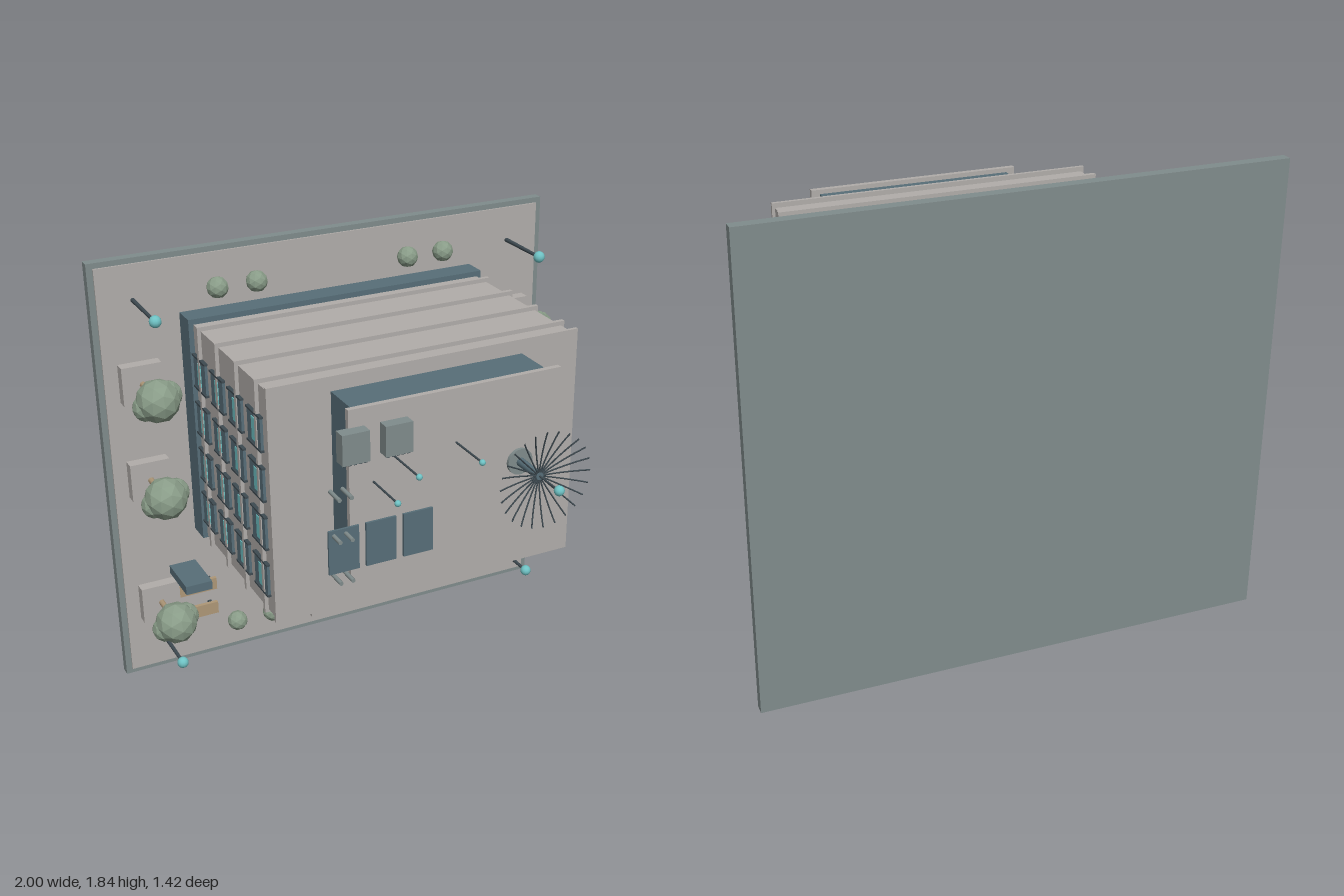
import * as THREE from 'three';

const mat = (name, color, side = THREE.FrontSide) => {
  const m = new THREE.MeshStandardMaterial({ color, side });
  m.name = name;
  return m;
};

export function createModel() {
  const model = new THREE.Group();
  model.name = 'buildingOnPlot';
  const stone = mat('pale stone', 0xb1adaa);
  const metal = mat('grey metal', 0x808c8c);
  const blue = mat('slate blue', 0x576e78);
  const dark = mat('dark steel', 0x3e4a51);
  const teal = mat('teal glass', 0x6fc2c4);
  const leaf = mat('leaf green', 0x899c88);
  leaf.flatShading = true;
  const wood = mat('wood', 0xae9777);

  const add = (name, geo, material, x = 0, y = 0, z = 0, parent = model) => {
    const m = new THREE.Mesh(geo, material);
    m.name = name;
    m.position.set(x, y, z);
    parent.add(m);
    return m;
  };
  // Box between two corners
  const box = (name, material, x0, x1, y0, y1, z0, z1, parent) =>
    add(name, new THREE.BoxGeometry(x1 - x0, y1 - y0, z1 - z0), material,
      (x0 + x1) / 2, (y0 + y1) / 2, (z0 + z1) / 2, parent);
  // Round rod along z
  const rod = (name, material, x, y, z0, z1, r, r2 = r, sides = 12) =>
    add(name, new THREE.CylinderGeometry(r2, r, z1 - z0, sides).rotateX(Math.PI / 2), material, x, y, (z0 + z1) / 2);
  const ball = (name, x, y, z, r) => add(name, new THREE.SphereGeometry(r, 12, 8), teal, x, y, z);

  // Plot: the building rises from it along +z, its entrance looks down
  box('plotSlab', metal, -1, 1, 0, 1.835, -0.71, -0.668);
  box('paving', stone, -0.975, 0.975, 0.022, 1.813, -0.668, -0.66);

  // Ground floor and main body with floor bands
  box('groundFloor', blue, -0.65, 0.65, 0.632, 1.59, -0.66, -0.56);
  box('mainBody', stone, -0.63, 0.63, 0.64, 1.568, -0.56, 0.182);
  box('roofSlab', stone, -0.642, 0.642, 0.635, 1.587, 0.182, 0.196);
  for (const z of [0.088, -0.103, -0.3, -0.487])
    box('floorBand', stone, -0.645, 0.645, 0.628, 1.585, z - 0.009, z + 0.009);

  // Windows on both sides and on the entrance face
  const floors = [0.063, -0.123, -0.305, -0.492];
  for (const z of floors) {
    for (const y of [1.383, 1.182, 0.982, 0.782]) {
      for (const s of [-1, 1]) {
        const w = new THREE.Group();
        w.name = 'sideWindow';
        w.position.set(s * 0.63, y, z);
        model.add(w);
        add('windowPanel', new THREE.BoxGeometry(0.014, 0.13, 0.124), blue, s * 0.004, 0, 0, w);
        add('windowGlass', new THREE.BoxGeometry(0.004, 0.092, 0.034), teal, s * 0.012, 0, 0, w);
        for (const e of [-1, 1])
          add('windowFin', new THREE.BoxGeometry(0.018, 0.008, 0.134), dark, s * 0.006, e * 0.066, 0, w);
      }
    }
    for (let i = 0; i < 6; i++) {
      const x = -0.51 + i * 0.204;
      box('frontWindowPanel', blue, x - 0.07, x + 0.07, 0.628, 0.642, z - 0.062, z + 0.062);
      box('frontWindowGlass', teal, x - 0.05, x + 0.05, 0.625, 0.629, z - 0.017, z + 0.017);
      for (const e of [-1, 1])
        box('frontWindowFin', dark, x + e * 0.07 - 0.004, x + e * 0.07 + 0.004, 0.623, 0.641, z - 0.066, z + 0.066);
    }
  }

  // Entrance hall, canopy, doors and steps
  box('entranceHall', blue, -0.285, 0.285, 0.305, 0.64, -0.66, -0.308);
  box('entranceCanopy', stone, -0.29, 0.29, 0.297, 0.64, -0.308, -0.286);
  box('entranceGlass', teal, -0.2, 0.2, 0.288, 0.306, -0.605, -0.34);
  for (let i = 0; i <= 8; i++) {
    const x = -0.2 + i * 0.05;
    box('doorMullion', dark, x - 0.004, x + 0.004, 0.283, 0.3, -0.605, -0.34);
  }
  box('doorLintel', dark, -0.205, 0.205, 0.285, 0.306, -0.342, -0.33);
  [[0.27, -0.608], [0.238, -0.625], [0.125, -0.643]].forEach(([y, z]) =>
    box('entranceStep', stone, -0.23, 0.23, y, 0.305, -0.66, z));

  // Sign blocks and benches
  for (const s of [-1, 1]) {
    const cx = s * 0.717;
    box('signBlock', blue, cx - 0.057, cx + 0.057, 0.445, 0.483, -0.66, -0.457);
    for (const y of [0.367, 0.248]) {
      const bx = s * 0.67;
      box('benchSeat', wood, bx - 0.085, bx + 0.085, y - 0.027, y + 0.027, -0.635, -0.618);
      for (const e of [-1, 1])
        box('benchLeg', dark, bx + e * 0.06 - 0.008, bx + e * 0.06 + 0.008, y - 0.02, y + 0.02, -0.66, -0.635);
    }
  }

  // Trees in planters
  const treeBlobs = [[0, 0, 0, 0.087], [0.048, 0.008, -0.022, 0.057], [-0.045, -0.025, -0.012, 0.054]];
  for (const s of [-1, 1]) {
    for (const y of [1.338, 0.92, 0.345]) {
      const x = s * 0.835;
      box('planter', stone, x - 0.082, x + 0.082, y - 0.08, y + 0.08, -0.66, -0.612);
      rod('treeTrunk', wood, x, y, -0.612, -0.45, 0.013, 0.01, 8);
      treeBlobs.forEach(([dx, dy, dz, r]) =>
        add('treeCrown', new THREE.IcosahedronGeometry(r, 1), leaf, x + dx, y + dy, -0.432 + dz));
    }
    // Bushes and lamps
    for (const y of [1.68, 0.155])
      for (const x of [0.335, 0.5])
        add('bush', new THREE.IcosahedronGeometry(0.044, 1), leaf, s * x, y, -0.622);
    for (const y of [1.67, 0.17]) {
      rod('lampPost', dark, s * 0.832, y, -0.66, -0.4, 0.009, 0.007);
      ball('lampGlobe', s * 0.832, y, -0.395, 0.024);
    }
  }

  // Penthouse
  box('penthouse', blue, -0.395, 0.395, 0.903, 1.53, 0.196, 0.39);
  box('penthouseRoof', stone, -0.43, 0.43, 0.874, 1.548, 0.39, 0.412);
  box('penthouseDoor', dark, -0.25, 0.25, 0.895, 0.904, 0.24, 0.37);

  // Cooling units with vent slats
  for (const x of [-0.422, -0.255]) {
    box('coolingUnit', metal, x - 0.053, x + 0.053, 1.363, 1.48, 0.408, 0.459);
    for (let i = 0; i < 5; i++)
      box('ventSlat', dark, x - 0.046 + i * 0.02, x - 0.034 + i * 0.02, 1.356, 1.364, 0.415, 0.45);
  }

  // Roof panels and vent pipes
  for (const x of [-0.463, -0.315, -0.165]) {
    box('roofPanel', blue, x - 0.06, x + 0.06, 0.932, 1.107, 0.422, 0.431);
    for (const y of [0.96, 1.08]) box('panelFoot', dark, x - 0.005, x + 0.005, y - 0.005, y + 0.005, 0.41, 0.424);
  }
  for (const x of [-0.502, -0.455])
    for (const y of [0.922, 1.087, 1.253]) rod('ventPipe', metal, x, y, 0.408, 0.488, 0.008);

  // Antennas
  for (const [x, y] of [[-0.335, 1.255], [-0.252, 1.337], [-0.003, 1.337]]) {
    rod('antenna', dark, x, y, 0.41, 0.6, 0.004);
    ball('antennaTip', x, y, 0.6, 0.012);
  }

  // Spoked dish on its mast
  const [dx, dy] = [0.264, 1.205];
  rod('dishBase', metal, dx, dy, 0.41, 0.425, 0.052, 0.052, 24);
  rod('dishMast', blue, dx, dy, 0.425, 0.56, 0.017, 0.015, 16);
  rod('dishFeed', dark, dx, dy, 0.56, 0.69, 0.004);
  ball('dishBeacon', dx, dy, 0.69, 0.02);
  for (let i = 0; i < 24; i++) {
    const a = (i / 24) * Math.PI * 2, c = Math.cos(a), s = Math.sin(a);
    const rib = new THREE.QuadraticBezierCurve3(
      new THREE.Vector3(c * 0.012, s * 0.012, 0.555),
      new THREE.Vector3(c * 0.11, s * 0.11, 0.567),
      new THREE.Vector3(c * 0.192, s * 0.192, 0.598));
    add('dishRib', new THREE.TubeGeometry(rib, 6, 0.003, 5), dark, dx, dy, 0);
  }
  return model;
}
